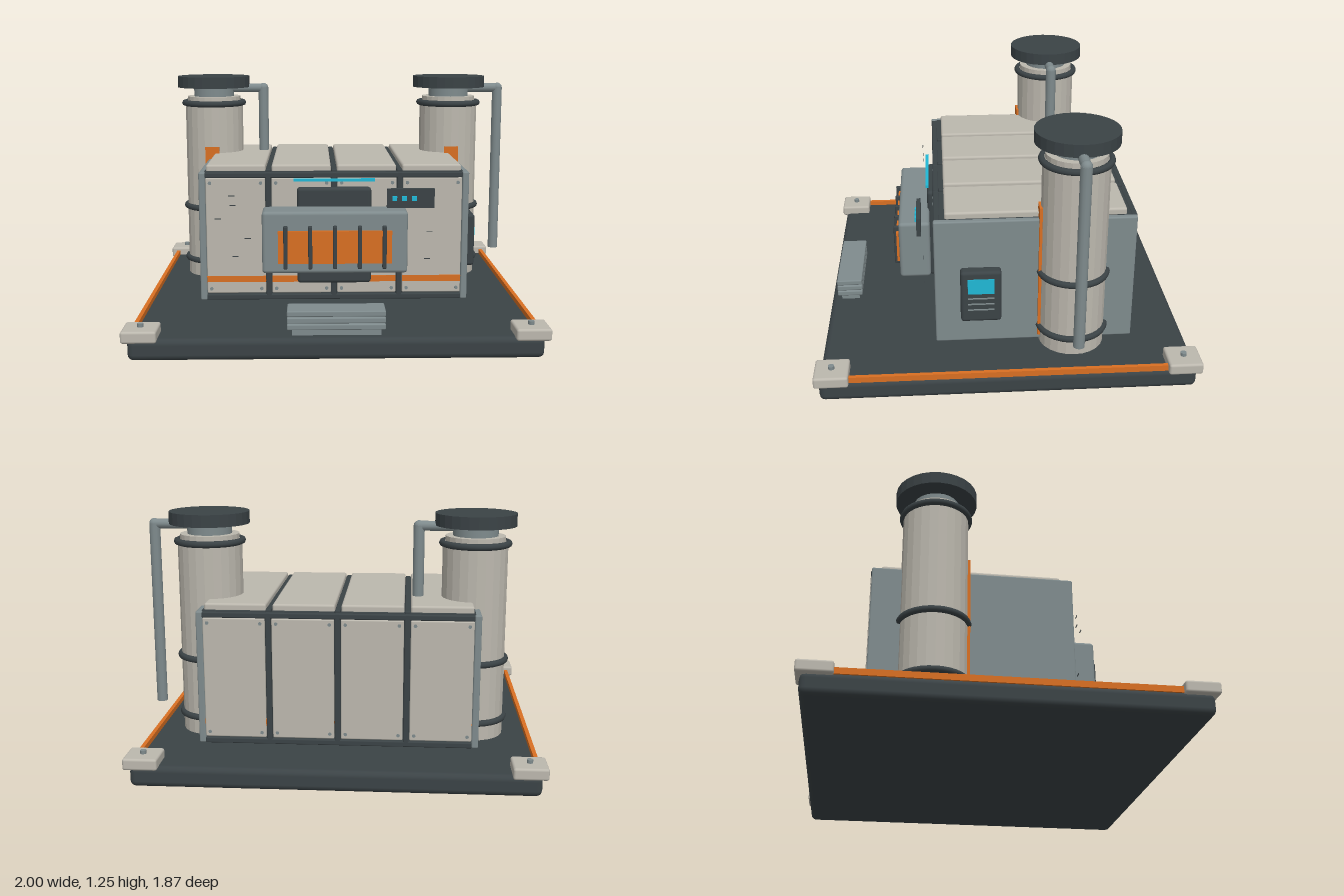
import * as THREE from 'three';
import { RoundedBoxGeometry } from 'three/addons/geometries/RoundedBoxGeometry.js';

const material = (color, flatShading = false) => new THREE.MeshStandardMaterial({ color, flatShading });
const dark = material(0x3b4346), darkFlat = material(0x3b4346, true);
const beige = material(0xbcb8ae), beigeFlat = material(0xbcb8ae, true);
const grey = material(0x7f8b8d), orange = material(0xd96f22), cyan = material(0x20b8d6);

export function createModel() {
  const model = new THREE.Group();

  function add(parent, name, geometry, mat, x, y, z) {
    const mesh = new THREE.Mesh(geometry, mat);
    mesh.name = name;
    mesh.position.set(x, y, z);
    parent.add(mesh);
    return mesh;
  }
  // Box given by its limits on each axis, rounded when r > 0
  function box(parent, name, mat, [x0, x1], [y0, y1], [z0, z1], r = 0) {
    const size = [x1 - x0, y1 - y0, z1 - z0];
    const geometry = r ? new RoundedBoxGeometry(...size, 2, r) : new THREE.BoxGeometry(...size);
    return add(parent, name, geometry, mat, (x0 + x1) / 2, (y0 + y1) / 2, (z0 + z1) / 2);
  }
  function group(name) {
    const g = new THREE.Group();
    g.name = name;
    model.add(g);
    return g;
  }

  // Ground plate with corner blocks and side rails
  const base = group('base');
  box(base, 'plate', dark, [-0.975, 0.975], [0, 0.105], [-0.915, 0.915], 0.03);
  for (const sx of [-1, 1]) {
    box(base, 'sideRail', orange, [sx * 0.96 - 0.01, sx * 0.96 + 0.01], [0.1, 0.13], [-0.8, 0.8]);
    for (const sz of [-1, 1]) {
      const x = sx * 0.917, z = sz * 0.853;
      box(base, 'cornerBlock', beige, [x - 0.083, x + 0.083], [0.092, 0.15], [z - 0.083, z + 0.083], 0.012);
      add(base, 'cornerBolt', new THREE.CylinderGeometry(0.015, 0.015, 0.02, 10), grey, x, 0.157, z);
    }
  }

  // Housing core and end plates
  const housing = group('housing');
  box(housing, 'core', dark, [-0.665, 0.665], [0.125, 0.8], [-0.61, 0.32]);
  for (const s of [-1, 1]) {
    box(housing, 'endPlate', grey, [s * 0.675 - 0.017, s * 0.675 + 0.017], [0.13, 0.8], [-0.635, 0.35], 0.008);
  }

  // Roof panels and the panelled front and back walls
  const bolt = new THREE.CylinderGeometry(0.009, 0.009, 0.012, 8).rotateX(Math.PI / 2);
  for (let i = 0; i < 4; i++) {
    const x = (i - 1.5) * 0.337;
    box(housing, 'roofPanel', beige, [x - 0.153, x + 0.153], [0.79, 0.832], [-0.588, 0.295], 0.012);
    for (const [wall, s] of [[0.334, 1], [-0.624, -1]]) {
      box(housing, 'wallPanel', beige, [x - 0.152, x + 0.152], [0.165, 0.77], [wall - 0.015, wall + 0.008], 0.006);
      box(housing, 'wallStripe', orange, [x - 0.152, x + 0.152], [0.225, 0.257], [wall - 0.012, wall + 0.012]);
      for (const bx of [-0.13, 0.13]) for (const by of [0.19, 0.745]) {
        add(housing, 'panelBolt', bolt, grey, x + bx, by, wall + s * 0.01);
      }
    }
  }
  for (const wall of [0.334, -0.624]) {
    for (const x of [-0.337, 0, 0.337]) {
      box(housing, 'wallRib', dark, [x - 0.014, x + 0.014], [0.135, 0.8], [wall - 0.015, wall + 0.014], 0.006);
    }
    for (const y of [0.145, 0.785]) {
      box(housing, 'wallRail', dark, [-0.66, 0.66], [y - 0.014, y + 0.014], [wall - 0.015, wall + 0.014], 0.006);
    }
  }
  for (const x of [-0.337, 0, 0.337]) {
    box(housing, 'roofRib', dark, [x - 0.014, x + 0.014], [0.79, 0.812], [-0.62, 0.32], 0.006);
  }

  // Small wear marks on the front
  const marks = [[-0.52, 0.69], [-0.515, 0.64], [-0.59, 0.572], [-0.44, 0.47], [-0.505, 0.375], [0.485, 0.5], [0.475, 0.36]];
  for (const [x, y] of marks) {
    box(housing, 'wearMark', dark, [x - 0.016, x + 0.016], [y - 0.002, y + 0.002], [0.403, 0.406]);
  }

  // Front intake: backing plate, hood, glowing grille and bars
  const intake = group('intake');
  box(intake, 'backingPlate', dark, [-0.19, 0.19], [0.225, 0.725], [0.33, 0.38], 0.018);
  box(intake, 'hood', grey, [-0.363, 0.363], [0.315, 0.63], [0.37, 0.53], 0.018);
  box(intake, 'grille', orange, [-0.283, 0.283], [0.37, 0.535], [0.52, 0.546]);
  for (let i = -2; i <= 2; i++) {
    box(intake, 'grilleBar', dark, [i * 0.123 - 0.01, i * 0.123 + 0.01], [0.345, 0.56], [0.525, 0.56], 0.005);
  }
  box(intake, 'lightStrip', cyan, [-0.207, 0.207], [0.758, 0.772], [0.37, 0.386]);

  // Indicator plate above the hood
  const indicator = group('indicator');
  box(indicator, 'indicatorPlate', dark, [0.265, 0.505], [0.63, 0.727], [0.412, 0.434]);
  for (const x of [0.303, 0.352, 0.402]) {
    box(indicator, 'indicatorLight', cyan, [x - 0.012, x + 0.012], [0.666, 0.69], [0.43, 0.443]);
  }

  // Control box on the left end
  const control = group('controlBox');
  box(control, 'controlCase', dark, [0.685, 0.748], [0.275, 0.553], [0.025, 0.225], 0.016);
  box(control, 'screen', cyan, [0.74, 0.753], [0.435, 0.515], [0.06, 0.19]);
  for (const y of [0.345, 0.377, 0.408]) {
    box(control, 'ventSlot', grey, [0.74, 0.752], [y - 0.003, y + 0.003], [0.06, 0.19]);
  }

  // Stacked step in front
  const step = group('step');
  for (let i = 0; i < 3; i++) {
    const y = 0.135 + i * 0.032;
    box(step, 'stepLayer', grey, [-0.233, 0.23], [y, y + 0.028], [0.747, 0.88], 0.006);
  }
  box(step, 'stepFoot', grey, [-0.21, 0.21], [0.1, 0.2], [0.765, 0.86]);

  // Two exhaust towers, each with a cap, clamps and a drain pipe
  for (const x of [-0.67, 0.67]) {
    const tower = group(x < 0 ? 'rightTower' : 'leftTower');
    tower.position.set(x, 0, -0.33);
    const drum = (name, r, y0, y1, mat, sides = 24) =>
      add(tower, name, new THREE.CylinderGeometry(r, r, y1 - y0, sides), mat, 0, (y0 + y1) / 2, 0);
    drum('towerShell', 0.163, 0.12, 1.115, beigeFlat);
    drum('towerShoulder', 0.15, 1.1, 1.142, beigeFlat);
    drum('towerNeck', 0.113, 1.13, 1.2, grey);
    drum('towerCap', 0.203, 1.193, 1.255, darkFlat, 28);
    for (const y of [0.21, 0.515, 1.105]) {
      add(tower, 'clampRing', new THREE.TorusGeometry(0.165, 0.017, 8, 32).rotateX(Math.PI / 2), dark, 0, y, 0);
    }
    box(tower, 'towerStripe', orange, [-0.039, 0.039], [0.16, 0.867], [0.15, 0.172]);
    add(tower, 'pipeArm', new THREE.CylinderGeometry(0.025, 0.025, 0.28, 12).rotateZ(Math.PI / 2), grey, 0.14, 1.187, 0);
    add(tower, 'drainPipe', new THREE.CylinderGeometry(0.028, 0.028, 0.94, 12), grey, 0.282, 0.72, 0);
    add(tower, 'pipeElbow', new THREE.SphereGeometry(0.028, 12, 8), grey, 0.282, 1.187, 0);
  }

  return model;
}
